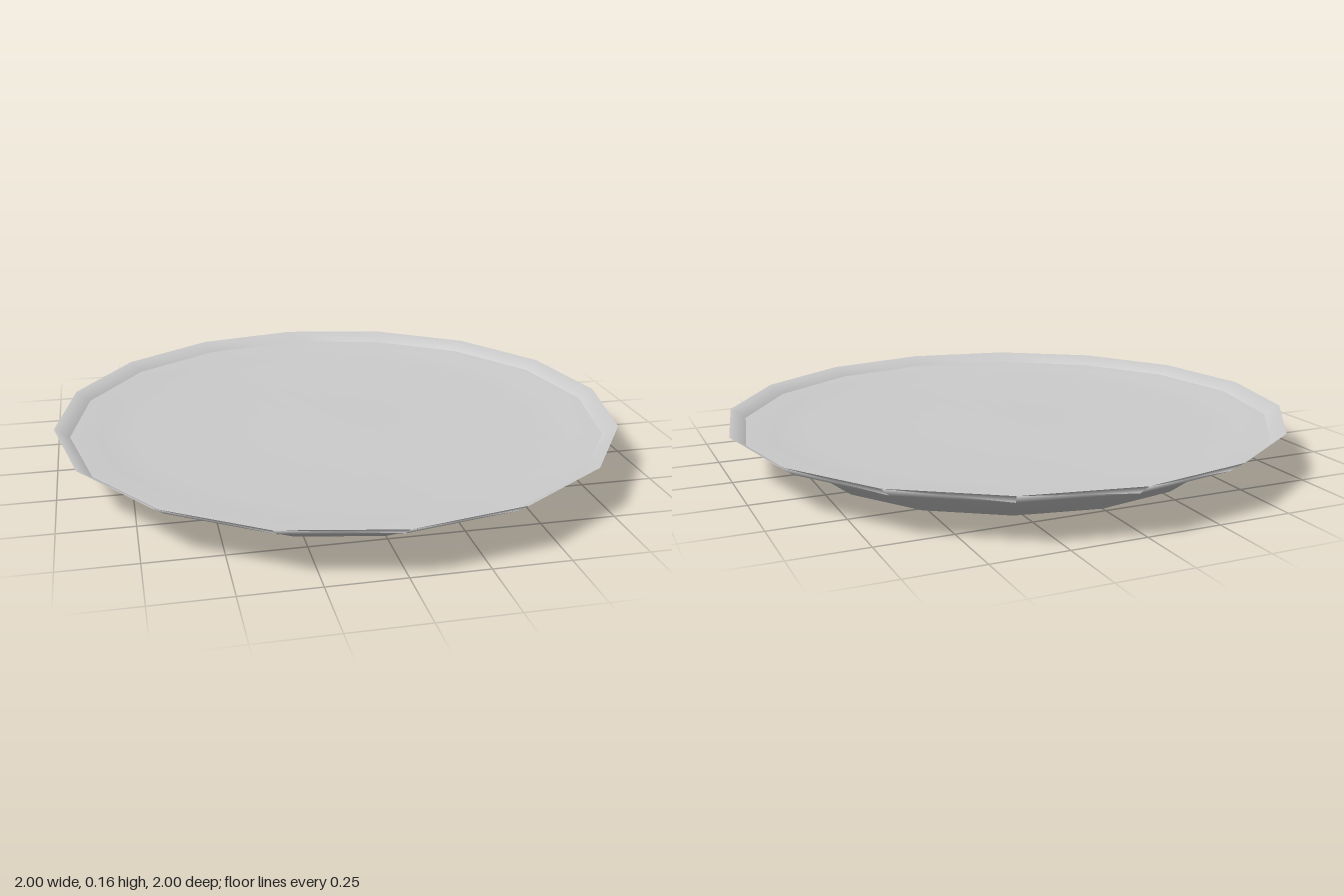
import * as THREE from 'three';

const SIDES = 16;

// Turns a [radius, height] profile into a smooth-shaded 16-sided part
function turned(name, profile) {
  const points = profile.map(([r, y]) => new THREE.Vector2(r, y));
  const material = new THREE.MeshStandardMaterial({ color: 0xcccccc });
  const mesh = new THREE.Mesh(new THREE.LatheGeometry(points, SIDES), material);
  mesh.name = name;
  return mesh;
}

export function createModel() {
  const plate = new THREE.Group();
  plate.name = 'plate';

  // Underside, sloping wall and thin raised lip, folded over at the rim
  plate.add(turned('plateBody', [
    [0, 0], [0.73, 0], [0.85, 0.09], [0.95, 0.118], [1, 0.155], [0.94, 0.117],
  ]));

  // Shallow eating surface that meets the inside of the lip
  plate.add(turned('plateTop', [
    [0.95, 0.122], [0.85, 0.118], [0.72, 0.105], [0, 0.11],
  ]));

  return plate;
}
